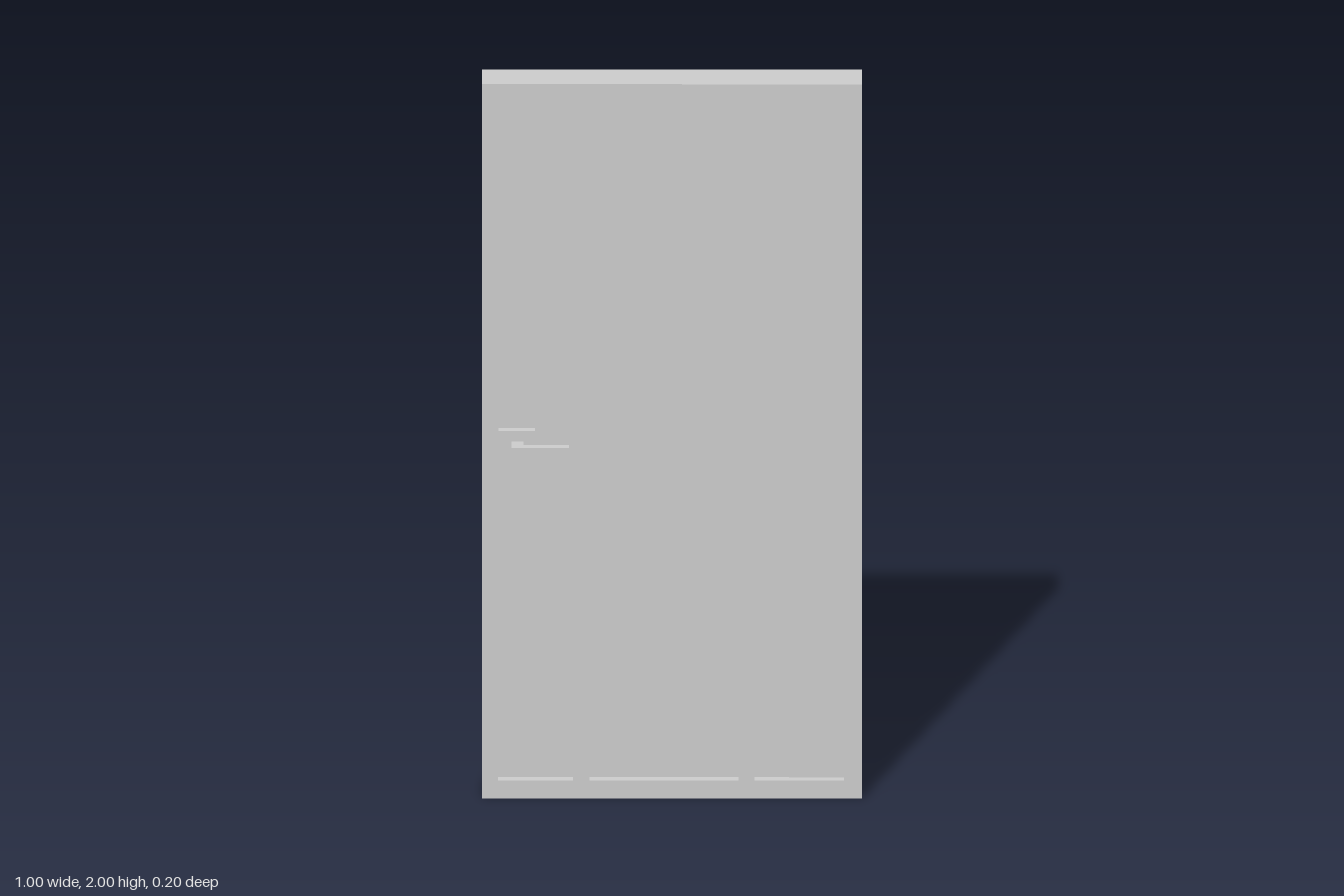
import * as THREE from 'three';

const material = new THREE.MeshStandardMaterial({ color: 0xcccccc, flatShading: true });
const HALF = 0.056; // half thickness of the frame
const PANEL = 0.03; // half thickness of the recessed panels
const BOTTOM = 0.05, TOP = 1.955;
const OPENINGS = [[-0.457, -0.26], [-0.217, 0.175], [0.217, 0.452]];

// Box given by its limits on each axis
function box(name, [x0, x1], [y0, y1], [z0, z1]) {
  const geometry = new THREE.BoxGeometry(x1 - x0, y1 - y0, z1 - z0);
  geometry.translate((x0 + x1) / 2, (y0 + y1) / 2, (z0 + z1) / 2);
  const mesh = new THREE.Mesh(geometry, material);
  mesh.name = name;
  return mesh;
}

function rectangle(path, x0, x1, y0, y1) {
  path.moveTo(x0, y0);
  path.lineTo(x1, y0);
  path.lineTo(x1, y1);
  path.lineTo(x0, y1);
  path.closePath();
  return path;
}

// Frame with three tall openings
function createFrame() {
  const shape = rectangle(new THREE.Shape(), -0.5, 0.5, 0, 2);
  for (const [x0, x1] of OPENINGS) {
    shape.holes.push(rectangle(new THREE.Path(), x0, x1, BOTTOM, TOP));
  }
  const geometry = new THREE.ExtrudeGeometry(shape, { depth: HALF * 2, bevelEnabled: false });
  geometry.translate(0, 0, -HALF);
  const frame = new THREE.Mesh(geometry, material);
  frame.name = 'doorFrame';
  return frame;
}

// Plate, stem and lever on one face; side is 1 for front, -1 for back
function createHandle(side) {
  const handle = new THREE.Group();
  handle.name = side > 0 ? 'frontHandle' : 'backHandle';
  const depth = (a, b) => (side > 0 ? [a, b] : [-b, -a]);
  handle.add(
    box('handlePlate', [-0.456, -0.36], [0.935, 1.027], depth(PANEL, 0.05)),
    box('handleStem', [-0.422, -0.39], [0.965, 0.997], depth(0.05, 0.078)),
    box('handleLever', [-0.422, -0.271], [0.965, 0.997], depth(0.078, 0.098))
  );
  return handle;
}

export function createModel() {
  const door = new THREE.Group();
  door.name = 'door';
  door.add(createFrame());
  // Recessed panels
  for (const opening of OPENINGS) {
    door.add(box('doorPanel', opening, [BOTTOM, TOP], [-PANEL, PANEL]));
  }
  for (const side of [1, -1]) door.add(createHandle(side));
  return door;
}
